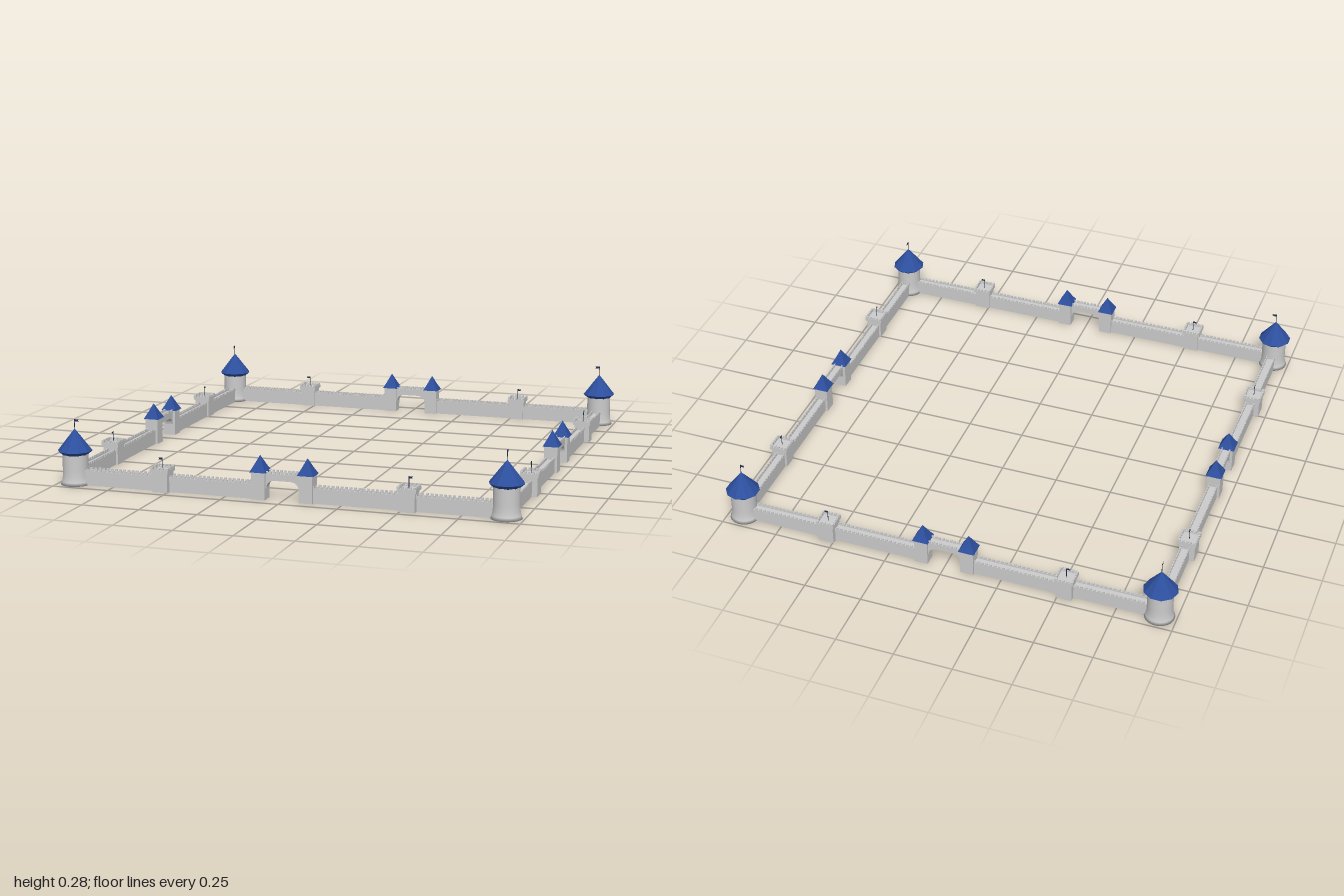
import * as THREE from 'three';
import { mergeGeometries } from 'three/addons/utils/BufferGeometryUtils.js';

const stone = new THREE.MeshStandardMaterial({ color: 0xcccccc, flatShading: true });
const smoothStone = new THREE.MeshStandardMaterial({ color: 0xcccccc });
const slate = new THREE.MeshStandardMaterial({ color: 0x2d4f9e, flatShading: true });
const cloth = new THREE.MeshStandardMaterial({ color: 0x25304f, side: THREE.DoubleSide });
const R = 0.927; // distance from the centre to each wall line

function add(parent, name, geometry, material, x = 0, y = 0, z = 0) {
  const mesh = new THREE.Mesh(geometry, material);
  mesh.name = name;
  mesh.position.set(x, y, z);
  parent.add(mesh);
  return mesh;
}

function box(w, h, d, x, y0, z) {
  return new THREE.BoxGeometry(w, h, d).translate(x, y0 + h / 2, z);
}

// Row of merlons along x between x0 and x1
function merlons(x0, x1, y, z, step, h, d) {
  const n = Math.max(2, Math.round((x1 - x0) / step));
  const pitch = (x1 - x0) / n;
  return Array.from({ length: n }, (_, i) =>
    box(pitch * 0.58, h, d, x0 + (i + 0.5) * pitch, y, z));
}

// Pole with a small swallow-tailed pennant flying along dir (x)
function flag(height, size, dir) {
  const g = new THREE.Group();
  g.name = 'flag';
  add(g, 'flagPole', new THREE.CylinderGeometry(0.0013, 0.0013, height, 6), cloth, 0, height / 2, 0);
  const s = new THREE.Shape([[0, 0], [dir * size, -0.001], [dir * size * 0.75, -size * 0.28],
    [dir * size, -size * 0.5], [0, -size * 0.55]].map(([x, y]) => new THREE.Vector2(x, y)));
  add(g, 'pennant', new THREE.ShapeGeometry(s), cloth, 0, height, 0);
  return g;
}

// Round tower with a flared foot and a ten-sided cone roof
function cornerTower() {
  const g = new THREE.Group();
  g.name = 'cornerTower';
  const pts = (a) => a.map(([x, y]) => new THREE.Vector2(x, y));
  add(g, 'towerBody', new THREE.LatheGeometry(
    pts([[0, 0], [0.064, 0], [0.059, 0.014], [0.055, 0.032], [0.054, 0.06], [0.054, 0.132]]), 24), smoothStone);
  add(g, 'towerRoof', new THREE.LatheGeometry(
    pts([[0.05, 0.124], [0.073, 0.143], [0.051, 0.171], [0.024, 0.206], [0, 0.236]]), 10), slate);
  const f = flag(0.046, 0.02, 1);
  f.position.y = 0.23;
  g.add(f);
  return g;
}

// Square tower with a jutting battlement
function wallTower(dir) {
  const g = new THREE.Group();
  g.name = 'wallTower';
  const parts = [box(0.068, 0.082, 0.068, 0, 0, 0), box(0.074, 0.004, 0.074, 0, 0.079, 0),
    box(0.08, 0.008, 0.08, 0, 0.083, 0)];
  for (let i = 0; i < 4; i++) {
    const side = mergeGeometries([box(0.08, 0.005, 0.007, 0, 0.091, 0.0365),
      ...merlons(-0.04, 0.04, 0.096, 0.0365, 0.0165, 0.009, 0.007)]);
    parts.push(side.rotateY(i * Math.PI / 2));
  }
  add(g, 'towerStone', mergeGeometries(parts), stone);
  const f = flag(0.05, 0.017, dir);
  f.position.y = 0.091;
  g.add(f);
  return g;
}

// Slim gate tower with a pyramid roof
function gateTower() {
  const g = new THREE.Group();
  g.name = 'gateTower';
  add(g, 'gateTowerBody', mergeGeometries([box(0.058, 0.116, 0.058, 0, 0, 0),
    box(0.064, 0.006, 0.064, 0, 0.108, 0)]), stone);
  const roof = new THREE.LatheGeometry([[0, 0.114], [0.05, 0.114], [0.031, 0.138], [0, 0.182]]
    .map(([x, y]) => new THREE.Vector2(x, y)), 4);
  add(g, 'gateTowerRoof', roof.rotateY(Math.PI / 4), slate);
  return g;
}

// Battlemented bridge with an arched underside
function gateArch() {
  const s = new THREE.Shape();
  s.moveTo(-0.078, 0.108);
  s.lineTo(-0.078, 0.05);
  s.lineTo(-0.07, 0.05);
  s.quadraticCurveTo(-0.066, 0.08, -0.034, 0.082);
  s.lineTo(0.034, 0.082);
  s.quadraticCurveTo(0.066, 0.08, 0.07, 0.05);
  s.lineTo(0.078, 0.05);
  s.lineTo(0.078, 0.108);
  s.closePath();
  const body = new THREE.ExtrudeGeometry(s, { depth: 0.036, bevelEnabled: false, curveSegments: 8 })
    .translate(0, 0, -0.018);
  const g = new THREE.Group();
  g.name = 'gateArch';
  add(g, 'archBody', body, stone);
  const tops = [-1, 1].flatMap((k) => [box(0.15, 0.004, 0.005, 0, 0.107, k * 0.0175),
    ...merlons(-0.075, 0.075, 0.111, k * 0.0175, 0.017, 0.009, 0.005)]);
  add(g, 'archBattlement', mergeGeometries(tops), stone);
  return g;
}

// Straight wall from x0 to x1 with a walkway between two parapets
function wall(x0, x1) {
  const w = x1 - x0, c = (x0 + x1) / 2;
  const parts = [box(w, 0.057, 0.036, c, 0, 0)];
  for (const k of [-1, 1]) {
    parts.push(box(w, 0.007, 0.005, c, 0.056, k * 0.0175));
    parts.push(...merlons(x0, x1, 0.063, k * 0.0175, 0.019, 0.008, 0.005));
  }
  return mergeGeometries(parts);
}

export function createModel() {
  const model = new THREE.Group();
  model.name = 'castleWalls';
  // Four identical sides, each carrying one corner tower
  for (let i = 0; i < 4; i++) {
    const side = new THREE.Group();
    side.name = 'wallSide';
    side.rotation.y = i * Math.PI / 2;
    const line = new THREE.Group();
    line.name = 'wallLine';
    line.position.z = R;
    side.add(line);
    for (const k of [-1, 1]) {
      add(line, 'curtainWall', k < 0 ? wall(-0.89, -0.12) : wall(0.12, 0.89), stone);
      const tower = wallTower(k);
      tower.position.set(k * 0.53, 0, 0.007);
      const gate = gateTower();
      gate.position.x = k * 0.102;
      line.add(tower, gate);
    }
    line.add(gateArch());
    const corner = cornerTower();
    corner.position.x = -R;
    line.add(corner);
    model.add(side);
  }
  return model;
}
